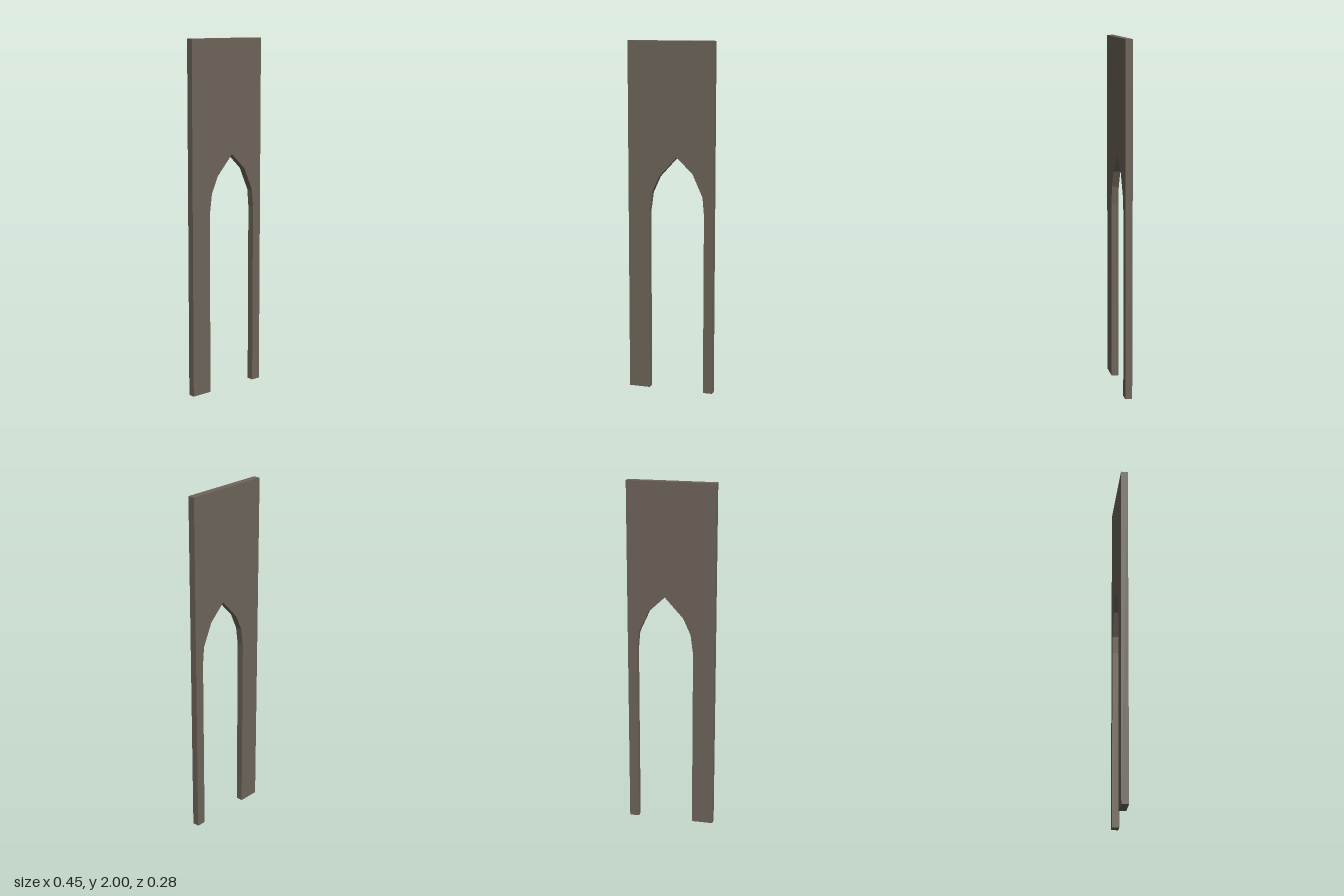
import * as THREE from 'three';

export function createModel() {
  const stone = new THREE.MeshStandardMaterial({ color: 0x6e655a });
  stone.name = 'weatheredStone';

  const halfWidth = 0.25, height = 2, thickness = 0.04;

  // Slightly uneven pointed arch, from the left foot over the apex to the right foot
  const arch = [
    [-0.127, 0], [-0.127, 1.04], [-0.112, 1.15], [-0.07, 1.243],
    [0.035, 1.358],
    [0.128, 1.27], [0.187, 1.14], [0.196, 1.04], [0.196, 0],
  ];

  // Wall slab with the arch cut up from the ground
  const outline = new THREE.Shape([
    ...arch,
    [halfWidth, 0], [halfWidth, height], [-halfWidth, height], [-halfWidth, 0],
  ].map(([x, y]) => new THREE.Vector2(x, y)));

  const geometry = new THREE.ExtrudeGeometry(outline, { depth: thickness, bevelEnabled: false });
  geometry.translate(0, 0, -thickness / 2);

  const wall = new THREE.Mesh(geometry, stone);
  wall.name = 'archedWall';
  wall.rotation.y = Math.PI / 6; // stands at an angle to the front

  const model = new THREE.Group();
  model.name = 'archedWallSection';
  model.add(wall);
  return model;
}
